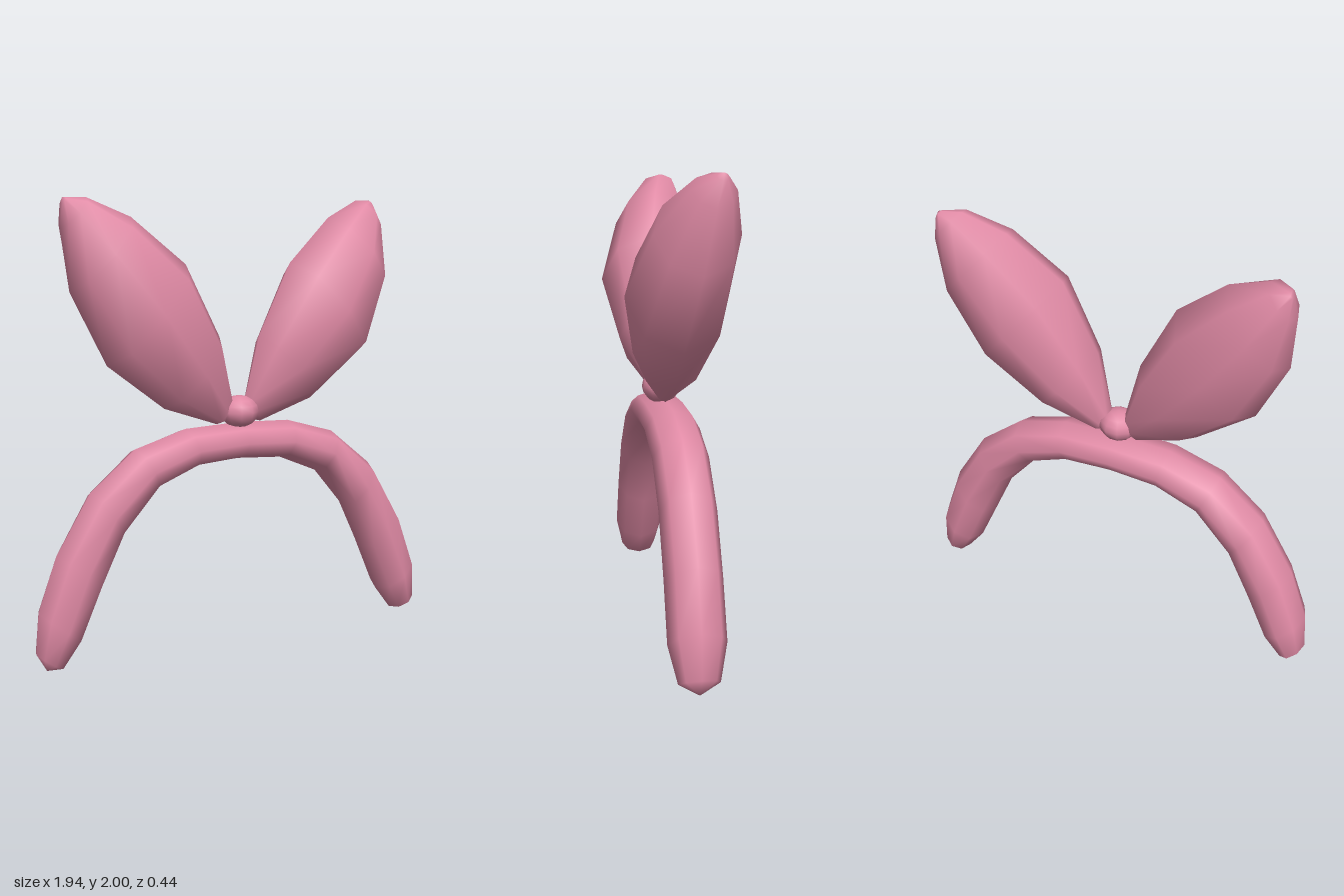
import * as THREE from 'three';

const SIDES = 8;

// Smooth loft through oval rings. Each ring: [ax, ay, bx, by, zFront, zBack],
// where a and b are the two opposite rim points in the xy plane.
function loft(rings, startTip, endTip) {
  const pos = [], index = [];
  for (const [ax, ay, bx, by, zf, zb] of rings) {
    for (let j = 0; j < SIDES; j++) {
      const t = (j / SIDES) * Math.PI * 2, c = Math.cos(t), s = Math.sin(t);
      pos.push(
        (ax + bx) / 2 + ((ax - bx) / 2) * c,
        (ay + by) / 2 + ((ay - by) / 2) * c,
        (zf + zb) / 2 + ((zf - zb) / 2) * s
      );
    }
  }
  const last = (rings.length - 1) * SIDES, start = rings.length * SIDES, end = start + 1;
  pos.push(...startTip, ...endTip);
  for (let j = 0; j < SIDES; j++) {
    const k = (j + 1) % SIDES;
    for (let o = 0; o < last; o += SIDES) {
      index.push(o + j, o + k, o + SIDES + k, o + j, o + SIDES + k, o + SIDES + j);
    }
    index.push(start, k, j, end, last + j, last + k);
  }
  const geo = new THREE.BufferGeometry();
  geo.setAttribute('position', new THREE.Float32BufferAttribute(pos, 3));
  geo.setIndex(index);
  geo.computeVertexNormals();
  return geo;
}

export function createModel() {
  const group = new THREE.Group();
  const pink = new THREE.MeshStandardMaterial({ color: 0xe08aa5 });
  pink.name = 'pink';
  const add = (name, geo) => {
    const mesh = new THREE.Mesh(geo, pink);
    mesh.name = name;
    group.add(mesh);
    return mesh;
  };

  // Headband: half the arch from the crown down, mirrored to the other side
  const half = [
    [0.26, 1.0, 0.22, 0.83, 0.11, -0.13],
    [0.5, 0.93, 0.41, 0.75, 0.11, -0.13],
    [0.71, 0.76, 0.57, 0.56, 0.11, -0.13],
    [0.87, 0.5, 0.67, 0.34, 0.11, -0.13],
    [0.955, 0.26, 0.77, 0.12, 0.11, -0.13],
    [0.97, 0.08, 0.855, 0.01, 0.075, -0.095],
  ];
  const otherHalf = half.map(([ax, ay, bx, by, f, b]) => [-ax, ay, -bx, by, f, b]).reverse();
  const crown = [0, 1.01, 0, 0.845, 0.11, -0.13];
  add('headband', loft([...otherHalf, crown, ...half], [-0.925, 0, -0.01], [0.925, 0, -0.01]));

  // Bow loops: swollen, leaning back towards the tip
  const loop = [
    [0.03, 1.11, 0.11, 1.01, 0.04, -0.04],
    [0.1, 1.4, 0.37, 1.1, 0.16, -0.14],
    [0.26, 1.72, 0.63, 1.3, 0.22, -0.21],
    [0.49, 1.92, 0.77, 1.61, 0.13, -0.22],
    [0.67, 2.0, 0.79, 1.87, 0.0, -0.18],
    [0.755, 2.0, 0.775, 1.97, -0.09, -0.14],
  ];
  add('leftBowLoop', loft(loop, [0.03, 1.03, 0], [0.765, 2.0, -0.12]));
  // swapping the rim points keeps the mirrored faces outward
  const mirrored = loop.map(([ax, ay, bx, by, f, b]) => [-bx, by, -ax, ay, f, b]);
  add('rightBowLoop', loft(mirrored, [-0.03, 1.03, 0], [-0.765, 2.0, -0.12]));

  // Knot between the loops
  const knot = add('knot', new THREE.SphereGeometry(1, 10, 8));
  knot.scale.set(0.09, 0.073, 0.085);
  knot.position.set(0, 1.062, 0.005);

  return group;
}
